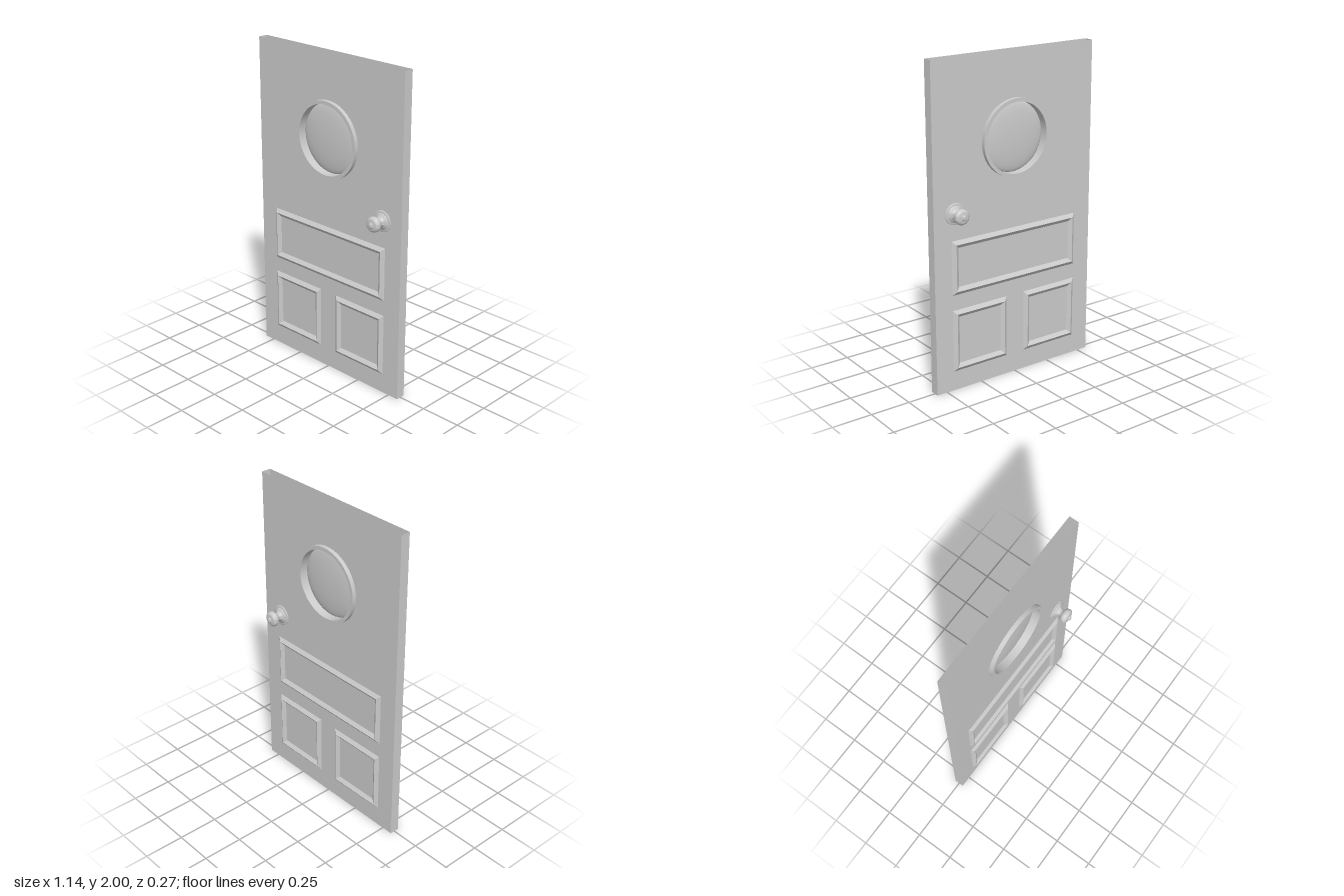
import * as THREE from 'three';
import { toCreasedNormals } from 'three/addons/utils/BufferGeometryUtils.js';

const W = 1.14, H = 2, T = 0.03;           // width, height, half thickness
const WIN_Y = 1.49, WIN_R = 0.213, RIM_R = 0.235;

const mat = new THREE.MeshStandardMaterial({ color: 0xcccccc, side: THREE.DoubleSide });

function add(parent, name, geometry, x = 0, y = 0, z = 0) {
  const mesh = new THREE.Mesh(geometry, mat);
  mesh.name = name;
  mesh.position.set(x, y, z);
  parent.add(mesh);
  return mesh;
}

// Profile of [radius, z] turned around the z axis
function turned(profile, segments, crease) {
  const g = new THREE.LatheGeometry(profile.map(([r, z]) => new THREE.Vector2(r, z)), segments);
  g.rotateX(Math.PI / 2);
  return crease ? toCreasedNormals(g, crease) : g;
}

// Mitred rectangular moulding: rectangular loops stepping inwards over a ridge
function moulding(x0, x1, y0, y1) {
  const section = [[0, T - 0.002], [0.026, 0.047], [0.052, T - 0.002]];
  const pos = [], index = [];
  for (const [d, z] of section) {
    pos.push(x0 + d, y0 + d, z, x1 - d, y0 + d, z, x1 - d, y1 - d, z, x0 + d, y1 - d, z);
  }
  for (let s = 0; s < section.length - 1; s++) {
    for (let i = 0; i < 4; i++) {
      const a = s * 4 + i, b = s * 4 + (i + 1) % 4;
      index.push(a, b, b + 4, a, b + 4, a + 4);
    }
  }
  const g = new THREE.BufferGeometry();
  g.setAttribute('position', new THREE.Float32BufferAttribute(pos, 3));
  g.setIndex(index);
  const flat = g.toNonIndexed();
  flat.computeVertexNormals();
  return flat;
}

// One broad face of the door with the round window opening
function doorFace() {
  const shape = new THREE.Shape();
  shape.moveTo(-W / 2, 0).lineTo(W / 2, 0).lineTo(W / 2, H).lineTo(-W / 2, H).closePath();
  const hole = new THREE.Path();
  hole.absarc(0, WIN_Y, WIN_R, 0, Math.PI * 2, true);
  shape.holes.push(hole);
  return new THREE.ShapeGeometry(shape, 48);
}

// Stepped rosette, waisted neck, rounded grip and small end button
function knobGeometry() {
  const rosette = [[0.065, 0.026], [0.065, 0.034], [0.06, 0.037], [0.05, 0.037], [0.046, 0.042], [0.036, 0.045]];
  const grip = new THREE.SplineCurve([
    [0.03, 0.05], [0.025, 0.058], [0.024, 0.066], [0.029, 0.075], [0.04, 0.084],
    [0.046, 0.095], [0.046, 0.108], [0.041, 0.117], [0.03, 0.122], [0.018, 0.123],
  ].map(([r, z]) => new THREE.Vector2(r, z))).getPoints(28).map(p => [p.x, p.y]);
  const button = [[0.015, 0.125], [0.014, 0.131], [0.009, 0.135], [0, 0.136]];
  return turned([...rosette, ...grip, ...button], 40, 0.7);
}

export function createModel() {
  const door = new THREE.Group();
  door.name = 'door';

  // Hollow slab, open at the top and bottom
  for (const s of [1, -1]) {
    const edge = add(door, 'slabEdge', new THREE.PlaneGeometry(T * 2, H), s * W / 2, H / 2, 0);
    edge.rotation.y = s * Math.PI / 2;
  }

  // Tube lining the window opening
  add(door, 'windowLining', turned([[WIN_R, -0.055], [WIN_R, 0.055]], 64), 0, WIN_Y, 0);

  // Bulging glass pane
  const lens = [];
  for (let i = 0; i <= 20; i++) {
    const a = -Math.PI / 2 + Math.PI * i / 20;
    lens.push([Math.max(0, WIN_R * Math.cos(a)), 0.028 * Math.sin(a)]);
  }
  add(door, 'windowGlass', turned(lens, 64), 0, WIN_Y, 0);

  // The same fittings on the front and the back
  for (const s of [1, -1]) {
    const side = new THREE.Group();
    side.name = s > 0 ? 'frontSide' : 'backSide';
    side.rotation.y = s > 0 ? 0 : Math.PI;
    door.add(side);

    add(side, 'slabFace', doorFace(), 0, 0, T);
    add(side, 'windowRim',
      turned([[RIM_R, T], [RIM_R, 0.055], [WIN_R, 0.055]], 64, 0.6), 0, WIN_Y, 0);
    add(side, 'upperPanelMoulding', moulding(-0.455, 0.455, 0.605, 0.945));
    add(side, 'lowerPanelMoulding', moulding(0.06, 0.455, 0.12, 0.515));
    add(side, 'lowerPanelMoulding', moulding(-0.455, -0.06, 0.12, 0.515));
    add(side, 'knob', knobGeometry(), s * 0.427, 1.105, 0);
  }
  return door;
}
